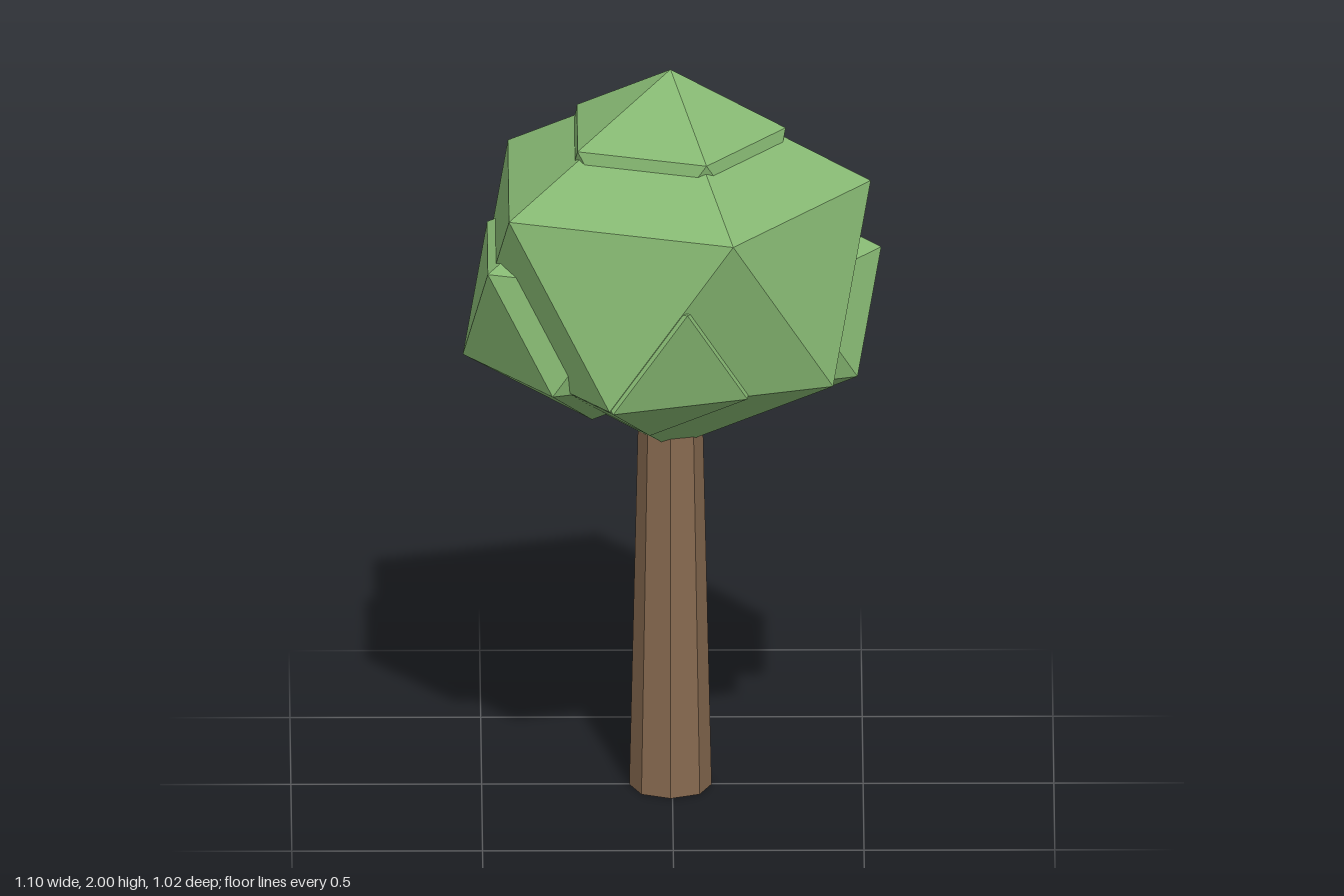
import * as THREE from 'three';

const leafMaterial = new THREE.MeshStandardMaterial({ color: 0x86b872, flatShading: true });
const barkMaterial = new THREE.MeshStandardMaterial({ color: 0x86694f, flatShading: true });

// Slightly squashed icosahedron standing on one of its corners
function leafGeometry() {
  const geometry = new THREE.IcosahedronGeometry(1, 0);
  const golden = (1 + Math.sqrt(5)) / 2;
  geometry.rotateZ(-Math.atan(1 / golden));
  geometry.scale(0.587, 0.515, 0.587);
  return geometry;
}

export function createModel() {
  const tree = new THREE.Group();
  tree.name = 'tree';

  // Tapered eight-sided trunk, its top hidden in the crown
  const trunk = new THREE.Mesh(new THREE.CylinderGeometry(0.083, 0.108, 1.1, 8), barkMaterial);
  trunk.name = 'trunk';
  trunk.position.set(-0.005, 0.55, 0.003);
  tree.add(trunk);

  // Crown: one large clump with smaller ones poking out of it
  const crown = new THREE.Group();
  crown.name = 'crown';
  const leaves = leafGeometry();
  const clumps = [
    ['mainClump', 1, -0.005, 1.458, 0.003],
    ['topClump', 0.575, -0.005, 1.704, 0.003],
    ['leftClump', 0.63, 0.217, 1.335, -0.058],
    ['rightClump', 0.645, -0.211, 1.371, 0.052],
    ['frontClump', 0.6, -0.06, 1.36, 0.206],
    ['backClump', 0.6, 0.025, 1.385, -0.21],
  ];
  for (const [name, size, x, y, z] of clumps) {
    const clump = new THREE.Mesh(leaves, leafMaterial);
    clump.name = name;
    clump.scale.setScalar(size);
    clump.position.set(x, y, z);
    crown.add(clump);
  }
  tree.add(crown);
  return tree;
}
